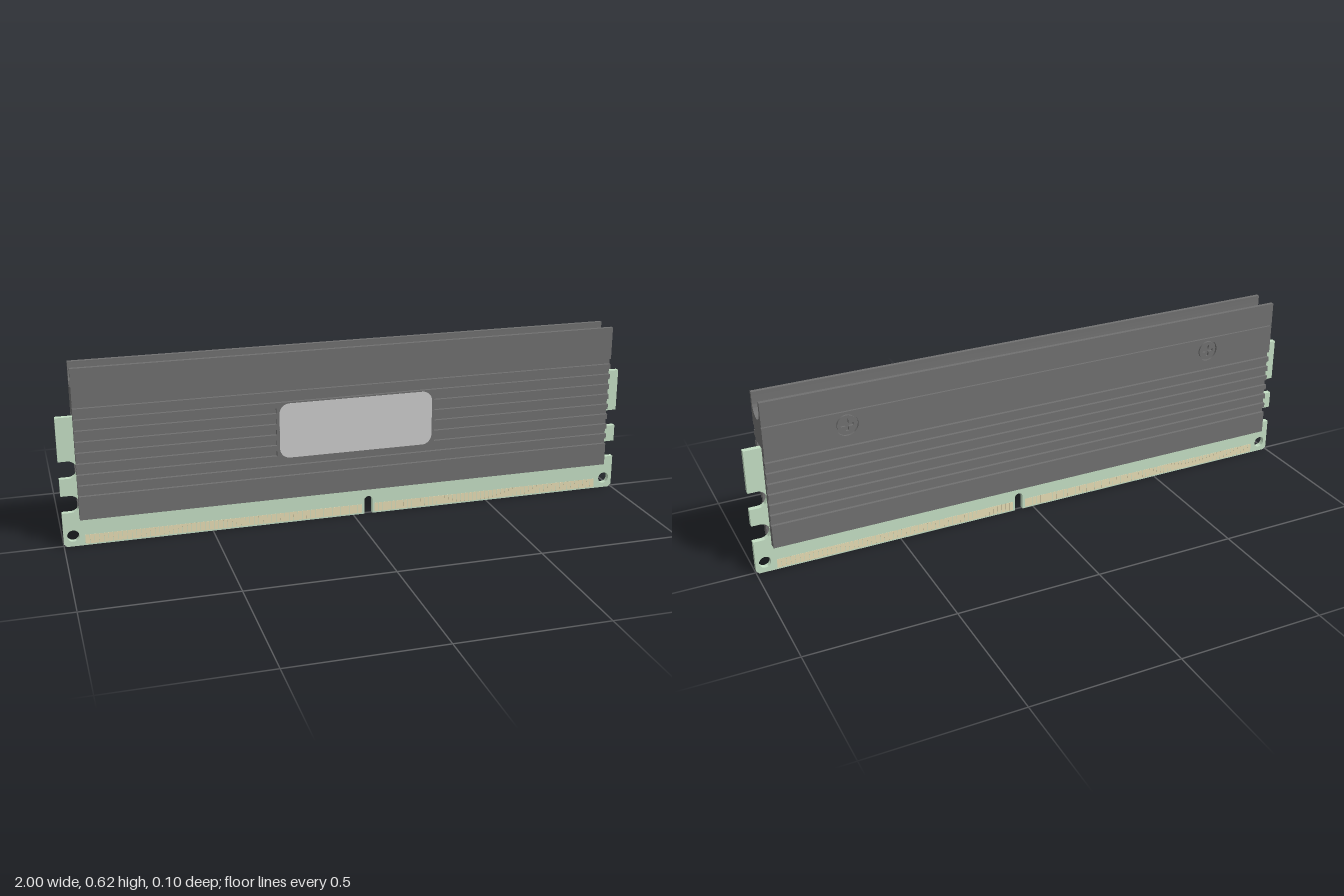
import * as THREE from 'three';
import { mergeGeometries, toCreasedNormals } from 'three/addons/utils/BufferGeometryUtils.js';

const material = (color) => new THREE.MeshStandardMaterial({ color });
const darkMetal = material(0x707070);
const screwMetal = material(0x707070);
const chipBlack = material(0x707070);
const boardGreen = material(0xc4dfc4);
const contactGold = material(0xe6dcb4);
const badgeGrey = material(0xcccccc);

const HALF = 0.945;   // half length of the heat spreader
const FACE = 0.0515;  // outer face of the spreader
const FLOOR = 0.041;  // floor of its grooves

function part(name, geometry, mat) {
  const mesh = new THREE.Mesh(geometry, mat);
  mesh.name = name;
  return mesh;
}

// Extrude a shape along z from z0 to z1, keeping curves smooth and edges sharp
function slab(shape, z0, z1) {
  const geo = new THREE.ExtrudeGeometry(shape, { depth: z1 - z0, bevelEnabled: false, curveSegments: 16 });
  return toCreasedNormals(geo.translate(0, 0, z0), 0.5);
}

function circle(x, y, r) {
  return new THREE.Path().absarc(x, y, r, 0, Math.PI * 2, true);
}

function roundedRect(x0, y0, x1, y1, r) {
  const s = new THREE.Shape();
  s.absarc(x1 - r, y0 + r, r, -Math.PI / 2, 0);
  s.absarc(x1 - r, y1 - r, r, 0, Math.PI / 2);
  s.absarc(x0 + r, y1 - r, r, Math.PI / 2, Math.PI);
  s.absarc(x0 + r, y0 + r, r, Math.PI, Math.PI * 1.5);
  s.closePath();
  return s;
}

// Board outline with key slot, side notches and corner holes
function boardGeometry() {
  const s = new THREE.Shape();
  const right = Math.PI / 2;
  s.moveTo(-0.99, 0);
  s.lineTo(0.04, 0);
  s.lineTo(0.04, 0.05);
  s.absarc(0.055, 0.05, 0.015, Math.PI, 0, true);
  s.lineTo(0.07, 0);
  s.lineTo(0.99, 0);
  s.lineTo(1, 0.01);
  for (const y of [0.15, 0.27]) {
    s.lineTo(1, y - 0.03);
    s.absarc(0.97, y, 0.03, -right, right, true);
    s.lineTo(1, y + 0.03);
  }
  s.lineTo(1, 0.45);
  s.lineTo(-1, 0.45);
  for (const y of [0.27, 0.15]) {
    s.lineTo(-1, y + 0.03);
    s.absarc(-0.97, y, 0.03, right, -right, true);
    s.lineTo(-1, y - 0.03);
  }
  s.lineTo(-1, 0.01);
  s.closePath();
  for (const x of [-0.968, 0.968]) s.holes.push(circle(x, 0.037, 0.02));
  return slab(s, -0.009, 0.009);
}

// Gold fingers on both faces, skipping the key slot
function contactGeometry() {
  const fingers = [];
  const pitch = 0.0155;
  for (let i = 0; i < 120; i++) {
    const x = (i - 59.5) * pitch;
    if (Math.abs(x - 0.055) < 0.028) continue;
    fingers.push(new THREE.BoxGeometry(0.0143, 0.032, 0.0192).translate(x, 0.021, 0));
  }
  return mergeGeometries(fingers);
}

// Spreader cross-section (shape x is -z), swept along the length
function spreaderGeometry() {
  const s = new THREE.Shape();
  const to = (x, y) => s.lineTo(x, y);
  s.moveTo(-FACE, 0.107);
  to(-0.027, 0.107);
  to(-0.027, 0.458);
  to(0.027, 0.458);
  to(0.027, 0.107);
  to(FACE, 0.107);
  // back grooves, upwards
  for (let i = 6; i >= 0; i--) {
    const top = 0.432 - 0.0375 * i, low = top - 0.019;
    to(FACE, low); to(FLOOR, low); to(FLOOR, top); to(FACE, top);
  }
  // seat for the screw plate
  to(FACE, 0.44); to(0.044, 0.44); to(0.044, 0.54); to(FACE, 0.54);
  // rounded channel along the top
  to(FACE, 0.622);
  to(0.038, 0.622);
  s.absarc(0, 0.586, 0.038, 0, -Math.PI, true);
  to(-0.038, 0.622);
  to(-FACE, 0.622);
  // front grooves, downwards
  for (let i = 0; i < 9; i++) {
    const top = 0.507 - 0.0375 * i, low = top - 0.019;
    to(-FACE, top); to(-FLOOR, top); to(-FLOOR, low); to(-FACE, low);
  }
  s.closePath();
  return slab(s, -HALF, HALF).rotateY(Math.PI / 2);
}

// Plate on the back with round screw holes
function screwPlateGeometry(xs, y) {
  const s = new THREE.Shape();
  s.moveTo(-HALF, 0.44);
  s.lineTo(HALF, 0.44);
  s.lineTo(HALF, 0.536);
  s.lineTo(-HALF, 0.536);
  s.closePath();
  for (const x of xs) s.holes.push(circle(x, y, 0.038));
  return slab(s, -FACE, -0.044);
}

// Round head with a cross-shaped recess
function screwGeometry() {
  const s = new THREE.Shape();
  s.absarc(0, 0, 0.033, 0, Math.PI * 2);
  const cross = new THREE.Path();
  const a = 0.005, b = 0.021;
  cross.setFromPoints([[a, a], [a, b], [-a, b], [-a, a], [-b, a], [-b, -a], [-a, -a],
    [-a, -b], [a, -b], [a, -a], [b, -a], [b, a]].map(([x, y]) => new THREE.Vector2(x, y)));
  cross.closePath();
  s.holes.push(cross);
  return slab(s, -0.0508, -0.044);
}

export function createModel() {
  const model = new THREE.Group();
  model.name = 'memoryModule';

  model.add(part('circuitBoard', boardGeometry(), boardGreen));
  model.add(part('contacts', contactGeometry(), contactGold));

  // memory chips on both sides of the board
  const chips = [];
  for (const side of [-1, 1]) {
    for (let i = 0; i < 8; i++) {
      chips.push(new THREE.BoxGeometry(0.17, 0.172, 0.0175)
        .translate((i - 3.5) * 0.225, 0.259, side * 0.01775));
    }
  }
  model.add(part('memoryChips', mergeGeometries(chips), chipBlack));

  const spreader = new THREE.Group();
  spreader.name = 'heatSpreader';
  spreader.add(part('spreaderBody', spreaderGeometry(), darkMetal));

  // screws and their plate on the back
  const screwXs = [-0.673, 0.673], screwY = 0.49;
  spreader.add(part('screwPlate', screwPlateGeometry(screwXs, screwY), darkMetal));
  for (const x of screwXs) {
    const screw = part('screw', screwGeometry(), screwMetal);
    screw.position.set(x, screwY, 0);
    spreader.add(screw);
  }

  // badge on its pad at the front
  spreader.add(part('badgePad', slab(roundedRect(-0.28, 0.25, 0.28, 0.45, 0.01), FLOOR - 0.001, 0.051), darkMetal));
  spreader.add(part('badge', slab(roundedRect(-0.27, 0.254, 0.27, 0.446, 0.035), 0.045, 0.0522), badgeGrey));
  model.add(spreader);

  return model;
}
